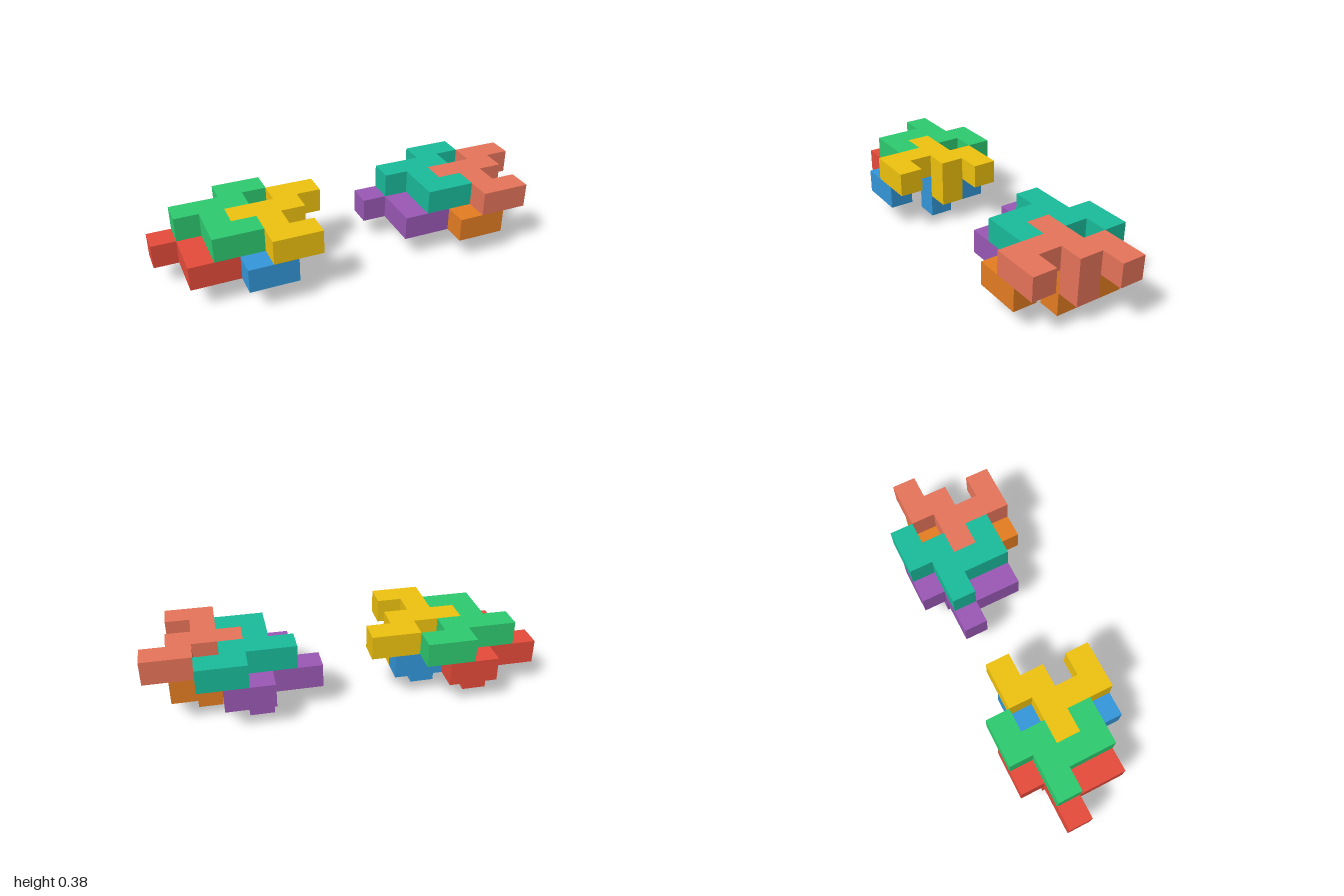
import * as THREE from 'three';

const U = 0.125; // edge of one cube cell

// Outline (x, z) of the flat part of a puzzle piece, in cells
const OUTLINE = [
  [0, -1], [2, -1], [2, 0], [1, 0], [1, 1], [0, 1], [0, 2],
  [1, 2], [1, 3], [-1, 3], [-1, 1], [-2, 1], [-2, 0], [0, 0],
];

// Every piece has the same shape: a branching slab with one cube peg below it
function makePiece(name, color, slabGeometry, pegGeometry) {
  const material = new THREE.MeshStandardMaterial({ color, flatShading: true });
  const piece = new THREE.Group();
  piece.name = name;
  const slab = new THREE.Mesh(slabGeometry, material);
  slab.name = name + 'Slab';
  const peg = new THREE.Mesh(pegGeometry, material);
  peg.name = name + 'Peg';
  piece.add(slab, peg);
  return piece;
}

export function createModel() {
  const model = new THREE.Group();
  model.name = 'interlockingCubePuzzle';

  const shape = new THREE.Shape(OUTLINE.map(([x, z]) => new THREE.Vector2(x * U, z * U)));
  const slab = new THREE.ExtrudeGeometry(shape, { depth: U, bevelEnabled: false });
  slab.rotateX(Math.PI / 2).translate(0, U, 0);
  const peg = new THREE.BoxGeometry(U, U, U).translate(U / 2, -U / 2, U / 2);

  // Cell position (column, layer, row) of each piece, and its colour in each cluster
  const pieces = [
    ['lowerRightPiece', 2, 1, 1, [0xe74c3c, 0x9b59b6]],
    ['lowerLeftPiece', 4, 1, 2, [0x3498db, 0xe67e22]],
    ['upperRightPiece', 3, 2, 1, [0x2ecc71, 0x1abc9c]],
    ['upperLeftPiece', 5, 2, 2, [0xf1c40f, 0xe8755a]],
  ];

  // Two identical clusters, nine cells apart
  ['rightCluster', 'leftCluster'].forEach((clusterName, c) => {
    const cluster = new THREE.Group();
    cluster.name = clusterName;
    cluster.position.set(-1 + c * 9 * U, 0, -2.5 * U);
    for (const [name, column, layer, row, colors] of pieces) {
      const piece = makePiece(name, colors[c], slab, peg);
      piece.position.set(column * U, layer * U, row * U);
      cluster.add(piece);
    }
    model.add(cluster);
  });

  return model;
}
